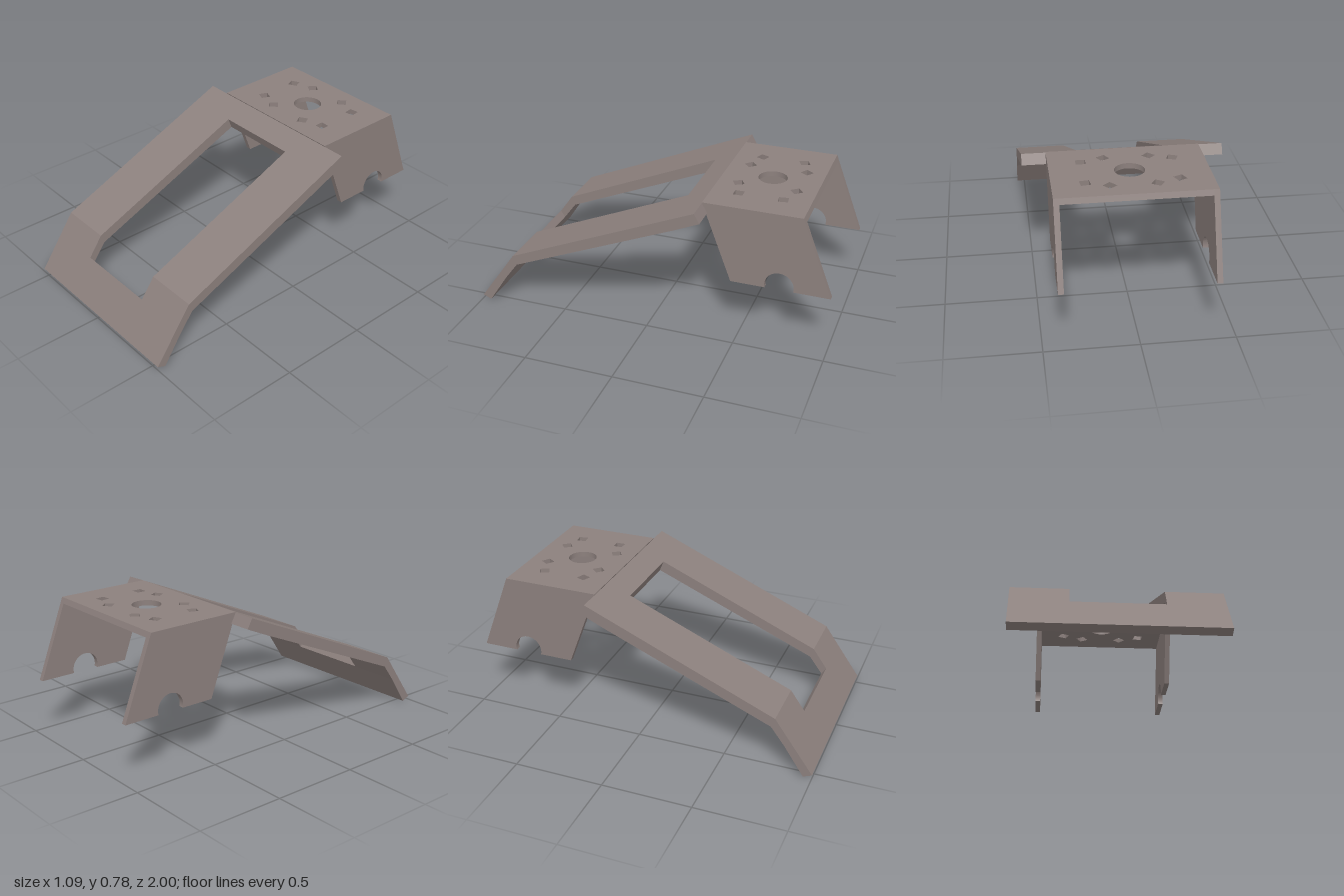
import * as THREE from 'three';

const material = new THREE.MeshStandardMaterial({ color: 0x8c807d });

// Bent frame: stations from foot to head, each with the [z, y] of the upper and lower skin
function frameGeometry() {
  const stations = [
    { top: [1, 0.02], low: [0.952, 0] },         // foot
    { top: [0.866, 0.207], low: [0.84, 0.168] }, // slot start
    { top: [0.785, 0.32], low: [0.765, 0.267] }, // bend
    { top: [-0.153, 0.719], low: [-0.176, 0.66] }, // slot end
    { top: [-0.287, 0.776], low: [-0.317, 0.722] }, // head
  ];
  const outer = 0.545, inner = 0.243;
  const positions = [];
  const point = (x, [z, y]) => [x, y, z];
  const quad = (a, b, c, d, flip = false) => {
    const [p, q, r, s] = flip ? [d, c, b, a] : [a, b, c, d];
    positions.push(...p, ...q, ...r, ...p, ...r, ...s);
  };
  // Skin patch between two stations
  const skin = (x0, x1, s, t) => {
    for (const side of ['top', 'low']) {
      quad(point(x0, s[side]), point(x1, s[side]), point(x1, t[side]), point(x0, t[side]), side === 'low');
    }
  };
  // Wall along the frame, and wall across it
  const wall = (x, s, t, facesLeft) =>
    quad(point(x, s.low), point(x, t.low), point(x, t.top), point(x, s.top), !facesLeft);
  const cap = (x, s, facesFront) =>
    quad(point(-x, s.low), point(x, s.low), point(x, s.top), point(-x, s.top), !facesFront);

  for (let i = 0; i < 4; i++) {
    const s = stations[i], t = stations[i + 1];
    const open = i === 1 || i === 2;
    skin(-outer, -inner, s, t);
    skin(inner, outer, s, t);
    if (!open) skin(-inner, inner, s, t);
    wall(outer, s, t, true);
    wall(-outer, s, t, false);
    if (open) {
      wall(inner, s, t, false);
      wall(-inner, s, t, true);
    }
  }
  cap(outer, stations[0], true);
  cap(inner, stations[1], false);
  cap(inner, stations[3], true);
  cap(outer, stations[4], false);

  const geometry = new THREE.BufferGeometry();
  geometry.setAttribute('position', new THREE.Float32BufferAttribute(positions, 3));
  geometry.computeVertexNormals();
  return geometry;
}

const topY = 0.78, sheet = 0.03, halfWidth = 0.415;
const frontZ = -0.287, backZ = -0.83, lean = 0.38;

// Top plate with a round hole and eight small square holes; shape y is -z
function plateGeometry() {
  const w = halfWidth - sheet;
  const shape = new THREE.Shape([
    new THREE.Vector2(-w, -frontZ), new THREE.Vector2(w, -frontZ),
    new THREE.Vector2(w, -backZ), new THREE.Vector2(-w, -backZ),
  ]);
  shape.holes.push(new THREE.Path().absarc(0, 0.56, 0.08, 0, Math.PI * 2, true));
  const squares = [ // x, -z, turn in degrees
    [-0.243, 0.68, 25], [-0.122, 0.722, -33], [0.122, 0.722, 40], [0.243, 0.68, 8],
    [-0.243, 0.437, -22], [-0.122, 0.4, 45], [0.122, 0.4, 30], [0.243, 0.437, 0],
  ];
  for (const [x, y, turn] of squares) {
    const corners = [0, 1, 2, 3].map((k) => {
      const a = THREE.MathUtils.degToRad(turn + 45 - 90 * k);
      return new THREE.Vector2(x + 0.037 * Math.cos(a), y + 0.037 * Math.sin(a));
    });
    shape.holes.push(new THREE.Path(corners));
  }
  const geometry = new THREE.ExtrudeGeometry(shape, { depth: sheet, bevelEnabled: false, curveSegments: 32 });
  geometry.rotateX(-Math.PI / 2).translate(0, topY - sheet, 0);
  // Lean the front and back edges in line with the side flanges
  const p = geometry.attributes.position;
  for (let i = 0; i < p.count; i++) {
    const z = p.getZ(i);
    if (z > frontZ - 0.01 || z < backZ + 0.01) p.setZ(i, z + (p.getY(i) - topY) * lean);
  }
  geometry.computeVertexNormals();
  return geometry;
}

// Leaning side flange with a round notch in its lower edge; shape x is -z
function flangeGeometry() {
  const bottomY = 0.335, a = Math.asin(0.25);
  const shape = new THREE.Shape();
  shape.moveTo(-frontZ, topY);
  shape.lineTo(0.453, bottomY);
  shape.absarc(0.72, bottomY + 0.02, 0.08, Math.PI + a, -a, true);
  shape.lineTo(1, bottomY);
  shape.lineTo(-backZ, topY);
  const geometry = new THREE.ExtrudeGeometry(shape, { depth: sheet, bevelEnabled: false, curveSegments: 24 });
  return geometry.rotateY(Math.PI / 2);
}

export function createModel() {
  const model = new THREE.Group();
  model.name = 'bracketWithFrame';
  const add = (name, geometry, x = 0) => {
    const mesh = new THREE.Mesh(geometry, material);
    mesh.name = name;
    mesh.position.x = x;
    model.add(mesh);
  };
  add('bentFrame', frameGeometry());
  add('mountingPlate', plateGeometry());
  const flange = flangeGeometry();
  add('leftFlange', flange, halfWidth - sheet);
  add('rightFlange', flange, -halfWidth);
  return model;
}
